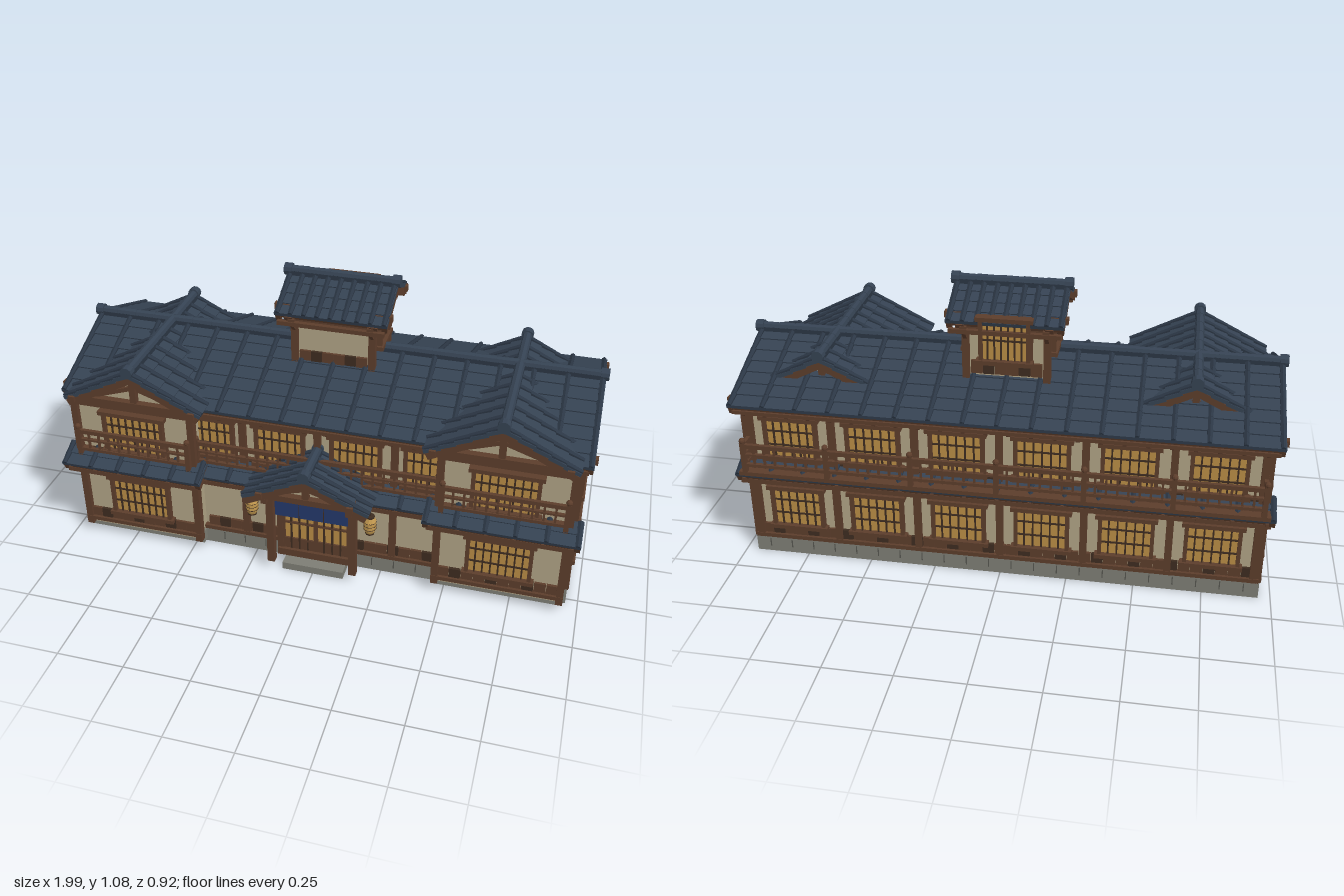
import * as THREE from 'three';

const mat = (color, side = THREE.FrontSide) => new THREE.MeshStandardMaterial({ color, side, flatShading: true });
const TILE = mat(0x354252), RIB = mat(0x2b3644), WOOD = mat(0x5c3d2b), DARK = mat(0x3d2c20),
  PLASTER = mat(0xb0a385), STONE = mat(0x7d7d74), LIT = mat(0xb88c45), CLOTH = mat(0x24386a, THREE.DoubleSide),
  LAMP = mat(0xc49a50), SEAM = mat(0x55554f);

function add(parent, name, geo, m, x, y, z) {
  const mesh = new THREE.Mesh(geo, m);
  mesh.name = name;
  mesh.position.set(x, y, z);
  parent.add(mesh);
  return mesh;
}
const box = (p, name, m, w, h, d, x, y, z) => add(p, name, new THREE.BoxGeometry(w, h, d), m, x, y, z);
function group(p, name, x = 0, y = 0, z = 0, ry = 0) {
  const g = new THREE.Group();
  g.name = name;
  g.position.set(x, y, z);
  g.rotation.y = ry;
  p.add(g);
  return g;
}
// beam in a local xy plane, from one point to another
function beam(p, name, x0, y0, x1, y1, z, t, d) {
  const b = box(p, name, WOOD, Math.hypot(x1 - x0, y1 - y0), t, d, (x0 + x1) / 2, (y0 + y1) / 2, z);
  b.rotation.z = Math.atan2(y1 - y0, x1 - x0);
}

// lattice window on a wall whose outside is local +z
function latticeWindow(p, x, y, w, h, bars = 5, rails = 2) {
  const g = group(p, 'latticeWindow', x, y, 0);
  box(g, 'litPane', LIT, w, h, 0.012, 0, 0, 0.003);
  for (const s of [-1, 1]) {
    box(g, 'windowJamb', WOOD, 0.014, h, 0.026, s * w / 2, 0, 0.01);
    box(g, 'windowRail', WOOD, w + 0.035, 0.016, 0.036, 0, s * h / 2, 0.012);
  }
  for (let i = 1; i <= bars; i++) box(g, 'mullion', DARK, 0.006, h, 0.008, -w / 2 + i * w / (bars + 1), 0, 0.011);
  for (let i = 1; i <= rails; i++) box(g, 'crossBar', DARK, w, 0.006, 0.007, 0, -h / 2 + i * h / (rails + 1), 0.01);
}

// row of upright boards in alternating browns
function wainscot(p, x0, x1, y, h) {
  const n = Math.max(2, Math.round((x1 - x0) / 0.045)), s = (x1 - x0) / n;
  for (let i = 0; i < n; i++)
    box(p, 'wainscotBoard', i % 3 === 1 ? DARK : WOOD, s * 0.95, h, 0.012 + 0.003 * (i % 2), x0 + (i + 0.5) * s, y, 0.004);
}

function balustrade(p, w, x, y, z, ry = 0) {
  const g = group(p, 'balustrade', x, y, z, ry), n = Math.round(w / 0.04);
  for (const [ry2, t] of [[0.012, 0.012], [0.055, 0.008], [0.09, 0.016]]) box(g, 'handrail', WOOD, w, t, 0.014, 0, ry2, 0);
  for (let i = 1; i < n; i++) box(g, 'baluster', WOOD, 0.008, 0.085, 0.008, -w / 2 + i * w / n, 0.045, 0);
  for (const s of [-1, 1]) {
    box(g, 'railPost', WOOD, 0.018, 0.13, 0.018, s * w / 2, 0.04, 0);
    add(g, 'postCap', new THREE.SphereGeometry(0.012, 8, 6), WOOD, s * w / 2, 0.11, 0);
  }
}

// tiled slope running down from the local x axis towards +z
function tileSlope(p, len, run, drop, rows, ribs) {
  const g = group(p, 'tileSlope'), L = Math.hypot(run, drop), step = L / rows;
  g.rotation.x = Math.atan2(drop, run);
  box(g, 'roofBoarding', WOOD, len - 0.02, 0.012, L, 0, -0.016, L / 2 - 0.004);
  const pan = new THREE.BoxGeometry(len, 0.014, step * 1.06);
  const rib = new THREE.CylinderGeometry(0.009, 0.012, step * 1.03, 6).rotateX(-Math.PI / 2).rotateX(Math.PI);
  for (let i = 0; i < rows; i++) {
    const z = (i + 0.5) * step;
    add(g, 'tileCourse', pan, TILE, 0, 0, z).rotation.x = -0.09;
    for (let k = 0; k <= ribs; k++)
      add(g, 'ribTile', rib, RIB, -len / 2 + 0.012 + k * (len - 0.024) / ribs, 0.008, z).rotation.x = -0.06;
  }
  for (const s of [-1, 1]) box(g, 'bargeBoard', WOOD, 0.02, 0.026, L, s * (len / 2 - 0.012), -0.02, L / 2);
  return g;
}

// gabled roof with its ridge along local x
function gableRoof(p, name, o) {
  const { len, half, eave, ridge, over, wall, rows, ribs, truss = true } = o;
  const g = group(p, name, o.x || 0, 0, o.z, o.ry || 0), drop = ridge - eave;
  for (const s of [0, Math.PI]) tileSlope(group(g, 'roofSide', 0, ridge, 0, s), len, half, drop, rows, ribs);
  // ridge tiles and round end tiles
  const n = Math.round(len / 0.08), cap = new THREE.CylinderGeometry(0.016, 0.018, len / n, 8).rotateZ(Math.PI / 2);
  box(g, 'ridgeBase', RIB, len - 0.02, 0.025, 0.036, 0, ridge + 0.003, 0);
  for (let i = 0; i < n; i++) add(g, 'ridgeTile', cap, TILE, -len / 2 + (i + 0.5) * len / n, ridge + 0.016, 0);
  for (const s of [-1, 1])
    add(g, 'ridgeEnd', new THREE.CylinderGeometry(0.023, 0.023, 0.03, 10).rotateZ(Math.PI / 2), TILE, s * (len / 2 - 0.005), ridge + 0.016, 0);
  if (!truss) return g;
  // plaster gable and its timber frame
  const top = ridge - 0.022, base = top - drop * wall / half, body = len - 2 * over;
  const tri = new THREE.Shape([new THREE.Vector2(-wall, base), new THREE.Vector2(wall, base), new THREE.Vector2(0, top)]);
  add(g, 'gableWall', new THREE.ExtrudeGeometry(tri, { depth: body, bevelEnabled: false }).translate(0, 0, -body / 2).rotateY(Math.PI / 2), PLASTER, 0, 0, 0);
  for (const s of [-1, 1]) {
    const f = group(g, 'gableFrame', s * body / 2, 0, 0, s * Math.PI / 2), h = top - base;
    box(f, 'tieBeam', WOOD, wall * 2 + 0.05, 0.024, 0.036, 0, base + 0.002, 0.008);
    box(f, 'kingPost', WOOD, 0.024, h, 0.03, 0, base + h / 2, 0.008);
    for (const k of [-1, 1]) {
      beam(f, 'gableStrut', k * wall * 0.78, base + 0.01, 0, base + h * 0.6, 0.004, 0.016, 0.018);
      beam(f, 'gableRafter', k * half * 0.97, top - drop * 0.97, 0, top, 0.01, 0.024, 0.03);
      box(f, 'purlinEnd', WOOD, 0.024, 0.024, over + 0.02, k * wall, base + 0.012, over / 2);
    }
  }
  return g;
}

function pentRoof(p, len, x, z, ry, depth, ribs) {
  const g = group(p, 'pentRoof', x, 0.412, z, ry);
  tileSlope(g, len, depth, 0.042, 2, ribs);
  box(g, 'eaveBeam', WOOD, len - 0.03, 0.018, 0.016, 0, -0.07, depth - 0.02);
  const n = Math.round(len / 0.12);
  for (let i = 0; i <= n; i++) box(g, 'bracket', WOOD, 0.012, 0.014, depth, -len / 2 + 0.03 + i * (len - 0.06) / n, -0.058, depth / 2);
}

// timber-framed wall front: posts, belts, boards at both storeys
function wallFrame(p, name, w, x, z, ry, posts, bottom = 0.065) {
  const g = group(p, name, x, 0, z, ry);
  for (const px of posts) box(g, 'wallPost', WOOD, 0.026, 0.635 - bottom, 0.03, px, (0.635 + bottom) / 2, 0.004);
  for (const [y, h] of [[0.075, 0.016], [0.345, 0.032], [0.625, 0.024]]) box(g, 'wallBelt', WOOD, w, h, 0.03, 0, y, 0.006);
  wainscot(g, -w / 2 + 0.02, w / 2 - 0.02, 0.1, 0.045);
  wainscot(g, -w / 2 + 0.02, w / 2 - 0.02, 0.39, 0.055);
  return g;
}

export function createModel() {
  const inn = new THREE.Group();
  inn.name = 'timberInn';
  const CZ = -0.055;

  // stone plinth, steps and main body
  box(inn, 'stonePlinth', STONE, 1.91, 0.065, 0.66, 0, 0.0325, CZ);
  for (let i = 0; i < 22; i++) for (const s of [-1, 1])
    box(inn, 'plinthJoint', SEAM, 0.004, 0.035, 0.004, -0.9 + i * 0.0857, 0.04, CZ + s * 0.33);
  for (let i = 0; i < 6; i++) for (const s of [-1, 1])
    box(inn, 'plinthJoint', SEAM, 0.004, 0.035, 0.004, s * 0.955, 0.04, CZ - 0.225 + i * 0.09);
  box(inn, 'entranceStep', STONE, 0.24, 0.03, 0.1, 0, 0.015, 0.31);
  box(inn, 'mainWalls', PLASTER, 1.88, 0.58, 0.63, 0, 0.35, CZ);

  // end walls
  for (const s of [-1, 1]) {
    const g = wallFrame(inn, 'endWall', 0.65, s * 0.94, CZ, s * Math.PI / 2, [-0.315, 0, 0.315]);
    for (const x of [-0.137, 0.137]) for (const y of [0.21, 0.507]) latticeWindow(g, x, y, 0.18, 0.17);
  }
  // rear wall with its long gallery
  const rear = wallFrame(inn, 'rearWall', 1.9, 0, CZ - 0.315, Math.PI, [-0.93, -0.62, -0.31, 0, 0.31, 0.62, 0.93]);
  for (let i = 0; i < 6; i++) for (const y of [0.21, 0.507]) latticeWindow(rear, -0.775 + i * 0.31, y, 0.19, 0.17);
  pentRoof(inn, 1.96, 0, -0.355, Math.PI, 0.09, 16);
  box(inn, 'galleryFloor', WOOD, 1.92, 0.016, 0.07, 0, 0.385, -0.42);
  for (let i = 0; i < 6; i++) balustrade(inn, 0.312, -0.78 + i * 0.312, 0.41, -0.447);
  for (const s of [-1, 1]) balustrade(inn, 0.07, s * 0.936, 0.41, -0.412, Math.PI / 2);

  // recessed middle of the front
  const front = wallFrame(inn, 'frontWall', 0.94, 0, CZ + 0.315, 0, [-0.29, 0, 0.29]);
  for (const x of [-0.42, -0.145, 0.145, 0.42]) latticeWindow(front, x, 0.507, 0.18, 0.17);
  pentRoof(inn, 0.9, 0, 0.265, 0, 0.09, 8);
  balustrade(inn, 0.92, 0, 0.41, 0.315);

  // projecting bays with their cross gables
  for (const s of [-1, 1]) {
    const x = s * 0.7;
    box(inn, 'bayWalls', PLASTER, 0.47, 0.59, 0.12, x, 0.34, 0.265);
    box(inn, 'baySill', STONE, 0.48, 0.05, 0.04, x, 0.04, 0.29);
    const g = wallFrame(inn, 'bayFront', 0.49, x, 0.325, 0, [-0.232, 0.232], 0.045);
    latticeWindow(g, 0, 0.21, 0.23, 0.17, 7);
    latticeWindow(g, 0, 0.507, 0.23, 0.17, 7);
    for (const k of [-1, 1]) for (const y of [0.345, 0.625]) box(inn, 'bayBelt', WOOD, 0.02, 0.024, 0.1, x + k * 0.235, y, 0.28);
    pentRoof(inn, 0.56, x, 0.315, 0, 0.09, 5);
    balustrade(inn, 0.44, x, 0.41, 0.355);
    gableRoof(inn, 'bayRoof', { x: s * 0.677, z: 0.045, ry: Math.PI / 2, len: 0.67, half: 0.265, eave: 0.655, ridge: 0.79, over: 0.045, wall: 0.235, rows: 5, ribs: 9 });
  }

  // main roof with rafter tails
  gableRoof(inn, 'mainRoof', { z: CZ, len: 1.97, half: 0.375, eave: 0.648, ridge: 0.79, over: 0.04, wall: 0.33, rows: 7, ribs: 16 });
  for (let i = 0; i < 24; i++) for (const s of [-1, 1])
    box(inn, 'rafterTail', WOOD, 0.014, 0.016, 0.07, -0.93 + i * 0.0809, 0.63, CZ + s * 0.335).rotation.x = s * 0.36;
  for (const s of [-1, 1]) box(inn, 'eavePlate', WOOD, 1.94, 0.014, 0.016, 0, 0.625, CZ + s * 0.365);

  // roof lantern house
  const CU = -0.085;
  box(inn, 'cupolaWalls', PLASTER, 0.29, 0.27, 0.25, 0, 0.82, CU);
  for (const s of [-1, 1]) {
    for (const k of [-1, 1]) {
      box(inn, 'cupolaPost', WOOD, 0.026, 0.27, 0.026, s * 0.147, 0.82, CU + k * 0.128);
      const strut = group(inn, 'eaveBrace', s * 0.147, 0, CU + k * 0.13, k > 0 ? -Math.PI / 2 : Math.PI / 2);
      beam(strut, 'eaveBrace', 0, 0.885, 0.045, 0.93, 0, 0.014, 0.014);
    }
    box(inn, 'cupolaPlate', WOOD, 0.36, 0.022, 0.024, 0, 0.937, CU + s * 0.14);
    box(inn, 'cupolaEaveBeam', WOOD, 0.4, 0.016, 0.018, 0, 0.93, CU + s * 0.175);
    const side = group(inn, 'cupolaSide', s * 0.147, 0, CU, s * Math.PI / 2);
    box(side, 'cupolaTie', WOOD, 0.36, 0.022, 0.024, 0, 0.937, 0);
    latticeWindow(side, 0, 0.9, 0.13, 0.165, 5, 1);
    const face = group(inn, 'cupolaFace', 0, 0, CU + s * 0.125, s > 0 ? 0 : Math.PI);
    wainscot(face, -0.13, 0.13, 0.775, 0.05);
    if (s < 0) {
      const dormer = group(face, 'rearDormer', 0, 0, 0.035);
      box(dormer, 'dormerBox', WOOD, 0.19, 0.17, 0.05, 0, 0.9, -0.025);
      latticeWindow(dormer, 0, 0.9, 0.17, 0.165, 6, 1);
    }
  }
  gableRoof(inn, 'cupolaRoof', { z: CU, len: 0.42, half: 0.178, eave: 0.962, ridge: 1.046, over: 0.062, wall: 0.13, rows: 4, ribs: 8 });

  // entrance porch
  gableRoof(inn, 'porchRoof', { z: 0.352, ry: Math.PI / 2, len: 0.2, half: 0.235, eave: 0.39, ridge: 0.505, over: 0.035, wall: 0.17, rows: 4, ribs: 4 });
  box(inn, 'doorPanel', LIT, 0.26, 0.25, 0.012, 0, 0.165, 0.295);
  box(inn, 'doorSill', WOOD, 0.3, 0.03, 0.05, 0, 0.05, 0.295);
  for (let i = 0; i <= 8; i++) box(inn, 'doorBar', i % 4 ? DARK : WOOD, i % 4 ? 0.007 : 0.016, 0.25, 0.014, -0.13 + i * 0.0325, 0.165, 0.301);
  for (const y of [0.11, 0.19, 0.27]) box(inn, 'doorRail', WOOD, 0.26, 0.009, 0.014, 0, y, 0.301);
  box(inn, 'doorKickBoard', WOOD, 0.26, 0.045, 0.014, 0, 0.085, 0.3);
  for (const s of [-1, 1]) {
    box(inn, 'porchPost', WOOD, 0.028, 0.34, 0.028, s * 0.16, 0.21, 0.362);
    box(inn, 'porchJamb', WOOD, 0.022, 0.32, 0.05, s * 0.142, 0.21, 0.285);
    box(inn, 'porchSideBeam', WOOD, 0.022, 0.022, 0.17, s * 0.16, 0.372, 0.35);
    // hanging lamps
    const lamp = group(inn, 'hangingLamp', s * 0.227, 0.3, 0.375);
    add(lamp, 'lampBody', new THREE.LatheGeometry([[0, -0.036], [0.016, -0.036], [0.023, -0.02], [0.024, 0.015], [0.016, 0.036], [0, 0.036]].map(a => new THREE.Vector2(...a)), 10), LAMP, 0, 0, 0);
    for (const y of [-0.037, 0.037]) add(lamp, 'lampRim', new THREE.CylinderGeometry(0.017, 0.017, 0.007, 10), DARK, 0, y, 0);
    for (const y of [-0.015, 0.0, 0.015]) add(lamp, 'lampHoop', new THREE.TorusGeometry(0.0238, 0.0015, 4, 10).rotateX(Math.PI / 2), DARK, 0, y, 0);
    box(lamp, 'lampCord', DARK, 0.005, 0.05, 0.005, 0, 0.06, 0);
  }
  box(inn, 'porchLintel', WOOD, 0.37, 0.024, 0.028, 0, 0.372, 0.362);
  for (const i of [-1, 0, 1]) box(inn, 'doorCurtain', CLOTH, 0.091, 0.096, 0.005, i * 0.095, 0.312, 0.364);
  return inn;
}
